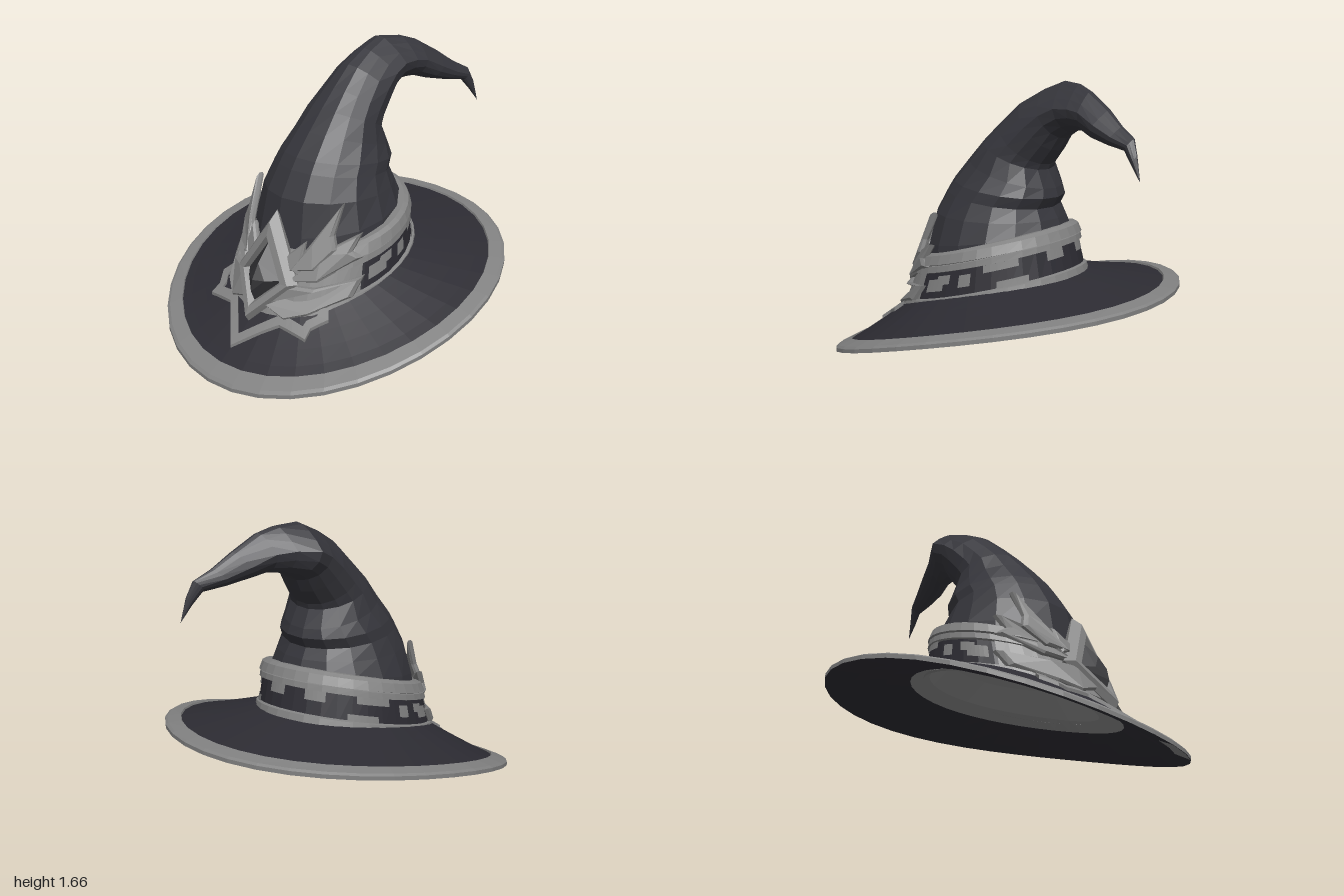
import * as THREE from 'three';

const paint = (name, color) => Object.assign(new THREE.MeshStandardMaterial({ color }), { name });
const crownCloth = paint('crown cloth', 0x35353b);
const brimCloth = paint('brim cloth', 0x2d2c33);
const metal = paint('grey trim', 0x828282);
metal.side = THREE.DoubleSide;
const liningCloth = paint('grey lining', 0x8a8a8a);
const stone = paint('dark gem', 0x303033);

const lerp = THREE.MathUtils.lerp;
const V = (x, y, z) => new THREE.Vector3(x, y, z);

// Flat-shaded skin through rows of points of equal length
function loft(name, rows, material, closed = true) {
  const pos = [];
  const tri = (a, b, c) => {
    if (a.distanceTo(b) < 1e-5 || b.distanceTo(c) < 1e-5 || a.distanceTo(c) < 1e-5) return;
    for (const p of [a, b, c]) pos.push(p.x, p.y, p.z);
  };
  for (let i = 0; i + 1 < rows.length; i++) {
    const n = rows[i].length;
    for (let j = 0; j < (closed ? n : n - 1); j++) {
      const k = (j + 1) % n;
      tri(rows[i][j], rows[i][k], rows[i + 1][k]);
      tri(rows[i][j], rows[i + 1][k], rows[i + 1][j]);
    }
  }
  const g = new THREE.BufferGeometry();
  g.setAttribute('position', new THREE.Float32BufferAttribute(pos, 3));
  g.computeVertexNormals();
  const mesh = new THREE.Mesh(g, material);
  mesh.name = name;
  return mesh;
}

// Tilted oval through a front point and a back point, both given as [z, y]
function oval(F, B, w, cx, n, a0 = 0, a1 = Math.PI * 2) {
  const full = a1 - a0 > 6.28, row = [];
  for (let j = 0; j < (full ? n : n + 1); j++) {
    const a = a0 + (a1 - a0) * j / n, c = Math.cos(a);
    row.push(V(cx + w * Math.sin(a), (F[1] + B[1]) / 2 + (F[1] - B[1]) / 2 * c,
      (F[0] + B[0]) / 2 + (F[0] - B[0]) / 2 * c));
  }
  return row;
}

// Brim: a drooping disc that lifts towards the crown
const SEG = 36;
const droop = z => 0.36 - 0.26 * z - 0.09 * z * z;
const lift = r => 0.14 * Math.pow(Math.max(0, (1 - r) / 0.5), 1.25) + 0.008;
const shift = r => 0.25 * Math.max(0, 0.9 - r);
function brimRing(r, dy) {
  return Array.from({ length: SEG }, (_, j) => {
    const a = j / SEG * Math.PI * 2, z = r * Math.cos(a) + shift(r);
    return V(r * Math.sin(a), Math.max(0, droop(z) + dy), z);
  });
}
function onBrim(x, z, up) {
  let r = 0.8;
  for (let i = 0; i < 12; i++) r = Math.hypot(x, z - shift(r));
  return V(x, droop(z) + lift(r) + up, z);
}

// Hat band: s runs from the lower edge (0) to the upper edge (1), o swells it
const bandAt = (s, o = 0) => [
  [lerp(0.62, 0.47, s) + o, lerp(0.31, 0.63, s)],
  [lerp(-0.45, -0.38, s) - o, lerp(0.6, 0.86, s)],
  lerp(0.49, 0.45, s) + o, 0];
const band = (name, profile, material, a0, a1, n = 36) =>
  loft(name, profile.map(([s, o]) => oval(...bandAt(s, o), n, a0, a1)), material, a0 === undefined);

// Depth of the band surface behind a front-facing point
function bandDepth(x, y) {
  let lo = -1, hi = 3, z = 0;
  for (let i = 0; i < 24; i++) {
    const s = (lo + hi) / 2, [F, B, w] = bandAt(s);
    const c = Math.sqrt(Math.max(0, 1 - (x / w) ** 2));
    z = (F[0] + B[0]) / 2 + (F[0] - B[0]) / 2 * c;
    if ((F[1] + B[1]) / 2 + (F[1] - B[1]) / 2 * c < y) lo = s; else hi = s;
  }
  return z;
}

// Plate cut from an outline and bent round the band
function plate(name, outline, side, out, depth) {
  const shape = new THREE.Shape(outline.map(([x, y]) => new THREE.Vector2(x * side, y)));
  let g = new THREE.ExtrudeGeometry(shape, {
    depth, bevelEnabled: true, bevelSize: 0.012, bevelThickness: 0.015, bevelSegments: 1 });
  const p = g.attributes.position;
  for (let i = 0; i < p.count; i++) {
    const x = p.getX(i), y = p.getY(i), d = p.getZ(i) + out;
    p.setXYZ(i, x * (1 + d * 0.6), y, bandDepth(x, y) + d * 0.85);
  }
  if (g.index) g = g.toNonIndexed();
  g.computeVertexNormals();
  const mesh = new THREE.Mesh(g, metal);
  mesh.name = name;
  return mesh;
}

// Diamond outline on a leaning, slightly folded plane
const diamond = (w, top, bottom, off) => [[0, top], [-w, 0.485], [0, bottom], [w, 0.485]]
  .map(([x, y]) => V(x, y, 0.7 - (y - 0.25) * 0.4 - 0.3 * Math.abs(x) + off));

export function createModel() {
  const hat = new THREE.Group();
  hat.name = 'hat';

  // Brim top, raised rim and underside
  hat.add(loft('brimTop', [0.92, 0.84, 0.74, 0.64, 0.56, 0.5, 0.475].map(r => brimRing(r, lift(r))), brimCloth));
  hat.add(loft('brimRim', [[1, -0.01], [1, 0.012], [0.985, 0.022], [0.91, 0.036], [0.903, 0.018]]
    .map(([r, d]) => brimRing(r, d)), metal));
  hat.add(loft('brimUnderside', [[0.59, 0.08], [0.7, 0.045], [0.85, 0.008], [1, -0.01]]
    .map(([r, d]) => brimRing(r, d)), brimCloth));
  hat.add(loft('rimUnderPatch', [[0.92, -0.005], [0.998, -0.013]]
    .map(([r, d]) => brimRing(r, d).slice(0, 3)), metal, false));

  // Lining inside the crown, facing inwards
  const mouth = brimRing(0.59, 0.08), apex = V(0, 0.9, 0);
  hat.add(loft('lining', [[0, 1], [0.3, 0.72], [0.6, 0.4], [0.8, 0.1], [1, 0]].map(([k, h]) =>
    mouth.map(p => V(p.x * k, lerp(p.y, apex.y, h), lerp(apex.z, p.z, k)))), liningCloth));

  // Crown: ovals from the base to the bent tip [front], [back], half width, centre x
  const crown = [
    [[0.5, 0.5], [-0.4, 0.7], 0.435, 0],
    [[0.46, 0.7], [-0.37, 0.84], 0.41, 0],
    [[0.42, 0.9], [-0.345, 0.9], 0.365, 0],
    [[0.34, 1.04], [-0.31, 0.96], 0.325, 0],
    [[0.3, 1.1], [-0.345, 1.02], 0.31, 0],
    [[0.2, 1.22], [-0.33, 1.07], 0.265, 0],
    [[0.1, 1.33], [-0.28, 1.17], 0.23, 0],
    [[0, 1.43], [-0.29, 1.2], 0.215, 0],
    [[-0.12, 1.54], [-0.35, 1.28], 0.2, 0],
    [[-0.25, 1.61], [-0.39, 1.35], 0.188, 0],
    [[-0.38, 1.66], [-0.44, 1.385], 0.185, 0],
    [[-0.5, 1.65], [-0.5, 1.405], 0.145, 0.05],
    [[-0.59, 1.62], [-0.56, 1.41], 0.115, 0.095],
    [[-0.73, 1.535], [-0.64, 1.385], 0.095, 0.15],
    [[-0.83, 1.46], [-0.76, 1.36], 0.065, 0.2],
    [[-0.92, 1.41], [-0.87, 1.345], 0.035, 0.245],
    [[-0.95, 1.33], [-0.92, 1.28], 0.02, 0.27],
    [[-0.98, 1.2], [-0.98, 1.2], 0, 0.29]];
  // The upper part is pinched into a ridge along its top
  hat.add(loft('crown', crown.map((r, i) => {
    const pinch = Math.min(0.5, Math.max(0, i - 6) * 0.13);
    return oval(...r, 16).map((p, j) => {
      const up = Math.max(0, Math.cos(j / 16 * Math.PI * 2));
      p.x = r[3] + (p.x - r[3]) * (1 - pinch * up);
      return p;
    });
  }), crownCloth));

  // Hat band with its trims
  hat.add(band('bandCloth', [[-0.03, 0.005], [0.7, 0.005]], brimCloth));
  hat.add(band('lowerTrim', [[-0.05, 0.004], [-0.03, 0.025], [0.11, 0.022], [0.13, 0]], metal));
  hat.add(band('middleTrim', [[0.62, 0], [0.64, 0.022], [0.76, 0.022], [0.78, 0]], metal));
  hat.add(band('upperTrim', [[0.76, 0], [0.79, 0.03], [0.97, 0.02], [1.02, -0.005], [1, -0.06]], metal));

  // Worn metal patches on the band: start angle, end angle, low s, high s
  const patches = [[1.27, 1.52, 0.26, 0.5], [1.42, 1.6, 0.38, 0.56], [1.72, 1.86, 0.28, 0.52],
    [2.0, 2.4, 0.48, 0.64], [2.15, 2.5, 0.12, 0.26], [2.75, 3.0, 0.42, 0.63]];
  for (const side of [1, -1]) {
    for (const [a, b, lo, hi] of patches) {
      const [a0, a1] = side > 0 ? [a, b] : [-b, -a];
      hat.add(band('bandPatch', [[lo, 0.011], [hi, 0.011]], metal, a0, a1, 5));
    }
    const [f0, f1] = side > 0 ? [0, 1.18] : [-1.18, 0];
    hat.add(band('bandFront', [[0.1, 0.012], [0.7, 0.012]], metal, f0, f1, 8));

    // Winged plates beside the gem
    hat.add(plate('lowerWing', [[0.07, 0.36], [0.2, 0.315], [0.3, 0.35], [0.43, 0.43], [0.44, 0.51],
      [0.3, 0.46], [0.16, 0.46]], side, 0.015, 0.03));
    hat.add(plate('sideWing', [[0.17, 0.5], [0.29, 0.65], [0.4, 0.74], [0.385, 0.66], [0.42, 0.63],
      [0.3, 0.52]], side, 0.015, 0.03));
    hat.add(plate('tallSpike', [[0.17, 0.56], [0.24, 0.7], [0.315, 0.9], [0.305, 0.75], [0.33, 0.68],
      [0.27, 0.58]], side, 0.03, 0.025));
    hat.add(plate('shortSpike', [[0.09, 0.58], [0.19, 0.69], [0.2, 0.55]], side, 0.03, 0.02));
  }

  // Pointed trim lying on the front of the brim: outer x, z and inner x, z
  const half = [[0, 0.83, 0, 0.77], [0.13, 0.71, 0.11, 0.67], [0.2, 0.65, 0.18, 0.605],
    [0.38, 0.635, 0.325, 0.595], [0.37, 0.58, 0.325, 0.565], [0.425, 0.5, 0.36, 0.52],
    [0.38, 0.45, 0.34, 0.46]];
  const path = [...half.slice(1).reverse().map(([a, b, c, d]) => [-a, b, -c, d]), ...half];
  const rows = [0, 0, 1, 1].map((t, i) => {
    const row = [], up = i % 3 ? 0.018 : -0.01;
    for (let k = 0; k + 1 < path.length; k++)
      for (let q = 0; q < 4; q++) {
        const p = path[k].map((v, m) => lerp(v, path[k + 1][m], q / 4));
        row.push(onBrim(lerp(p[0], p[2], t), lerp(p[1], p[3], t), up));
      }
    return row;
  });
  hat.add(loft('brimPointTrim', rows, metal, false));

  // Diamond setting and faceted gem
  hat.add(loft('gemFrame', [diamond(0.19, 0.78, 0.3, -0.07), diamond(0.225, 0.84, 0.245, -0.01),
    diamond(0.19, 0.785, 0.285, 0.03), diamond(0.145, 0.71, 0.335, 0.025),
    diamond(0.125, 0.675, 0.36, -0.02)], metal));
  hat.add(loft('gem', [diamond(0.13, 0.68, 0.355, -0.015), diamond(0.06, 0.57, 0.42, 0.035),
    diamond(0, 0.485, 0.485, 0.05)], stone));
  return hat;
}
